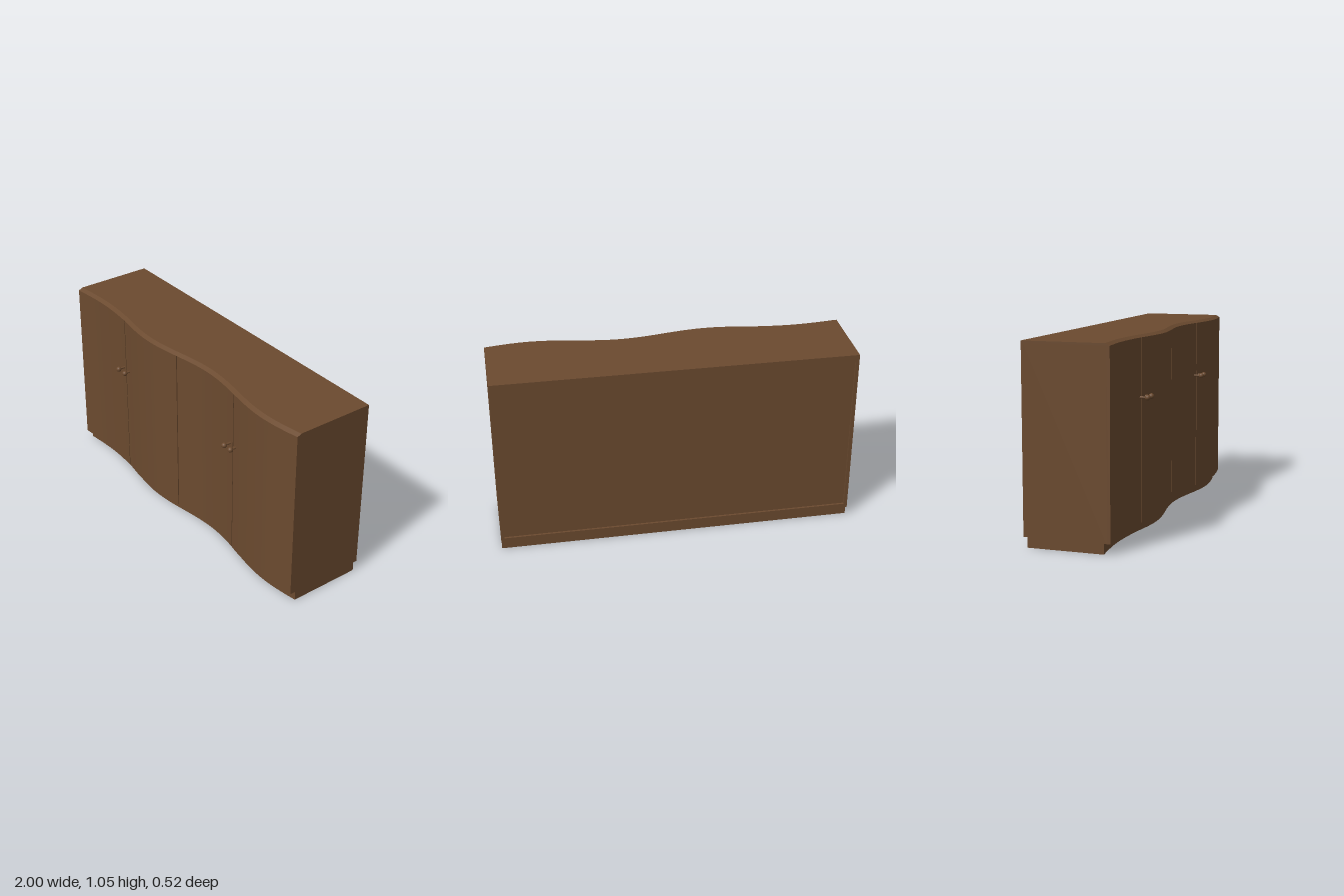
import * as THREE from 'three';
import { toCreasedNormals } from 'three/addons/utils/BufferGeometryUtils.js';

const BACK = -0.26, TOP = 1.05, BASE = 0.055;

// Depth of the serpentine front at a given x
const waveZ = (x) => 0.208 - (x < -0.5 ? 0.018 : 0.028) * Math.sin(2 * Math.PI * x);

// Points along the front curve between x0 and x1, set back by inset; y = -z in plan
function frontPoints(x0, x1, inset) {
  const n = Math.ceil((x1 - x0) * 32);
  return Array.from({ length: n + 1 }, (_, i) => {
    const x = x0 + (x1 - x0) * i / n;
    return new THREE.Vector2(x, inset - waveZ(x));
  });
}

// Plan outline with a curved front and a straight back
function plan(x0, x1, inset, backZ) {
  return [...frontPoints(x0, x1, inset),
    new THREE.Vector2(x1, -backZ), new THREE.Vector2(x0, -backZ)];
}

function extrudeUp(shape, y0, y1) {
  const geo = new THREE.ExtrudeGeometry(shape, { depth: y1 - y0, bevelEnabled: false });
  return geo.rotateX(-Math.PI / 2).translate(0, y0, 0);
}

export function createModel() {
  const group = new THREE.Group();
  const wood = new THREE.MeshStandardMaterial({ color: 0x6b4a2f });
  wood.name = 'brown wood';

  const add = (name, geo) => {
    const mesh = new THREE.Mesh(toCreasedNormals(geo, 0.4), wood);
    mesh.name = name;
    group.add(mesh);
    return mesh;
  };

  // Hollow plinth following the front curve
  const ring = new THREE.Shape(plan(-0.998, 0.998, 0.035, -0.24));
  ring.holes.push(new THREE.Path(plan(-0.968, 0.968, 0.065, -0.21).reverse()));
  add('plinth', extrudeUp(ring, 0, BASE));

  // Carcass, with its back face acting as the recessed back panel
  add('carcass', extrudeUp(new THREE.Shape(plan(-1, 1, 0.02, BACK + 0.012)), BASE, 1.038));

  // Raised frame round the back panel
  const frame = new THREE.Shape([[-1, BASE], [1, BASE], [1, 1.038], [-1, 1.038]]
    .map(([x, y]) => new THREE.Vector2(x, y)));
  frame.holes.push(new THREE.Path([[-0.98, 0.08], [-0.98, 1.005], [0.98, 1.005], [0.98, 0.08]]
    .map(([x, y]) => new THREE.Vector2(x, y))));
  add('backFrame', new THREE.ExtrudeGeometry(frame, { depth: 0.012, bevelEnabled: false })
    .translate(0, 0, BACK));

  // Top slab, its upper front edge sloped back
  const slab = extrudeUp(new THREE.Shape(plan(-1, 1, 0, BACK)), 1.038, TOP);
  const pos = slab.attributes.position;
  for (let i = 0; i < pos.count; i++) {
    if (pos.getY(i) > 1.045 && pos.getZ(i) > 0) pos.setZ(i, pos.getZ(i) - 0.024);
  }
  add('top', slab);

  // Four curved doors separated by narrow gaps
  const seams = [-1.003, -0.515, -0.005, 0.495, 1.003];
  for (let i = 0; i < 4; i++) {
    const x0 = seams[i] + 0.003, x1 = seams[i + 1] - 0.003;
    const outline = [...frontPoints(x0, x1, 0), ...frontPoints(x0, x1, 0.02).reverse()];
    add('door' + (i + 1), extrudeUp(new THREE.Shape(outline), BASE, 1.038));
  }

  // Round knobs on short stems
  for (const x of [-0.535, -0.473, 0.468, 0.521]) {
    const knob = new THREE.Group();
    knob.name = 'knob';
    const ball = new THREE.Mesh(new THREE.SphereGeometry(0.015, 20, 14), wood);
    ball.name = 'knobBall';
    ball.position.z = 0.245;
    const stem = new THREE.Mesh(
      new THREE.CylinderGeometry(0.006, 0.006, 0.05, 12).rotateX(Math.PI / 2), wood);
    stem.name = 'knobStem';
    stem.position.z = 0.22;
    knob.add(ball, stem);
    knob.position.set(x, 0.727, 0);
    group.add(knob);
  }

  return group;
}
